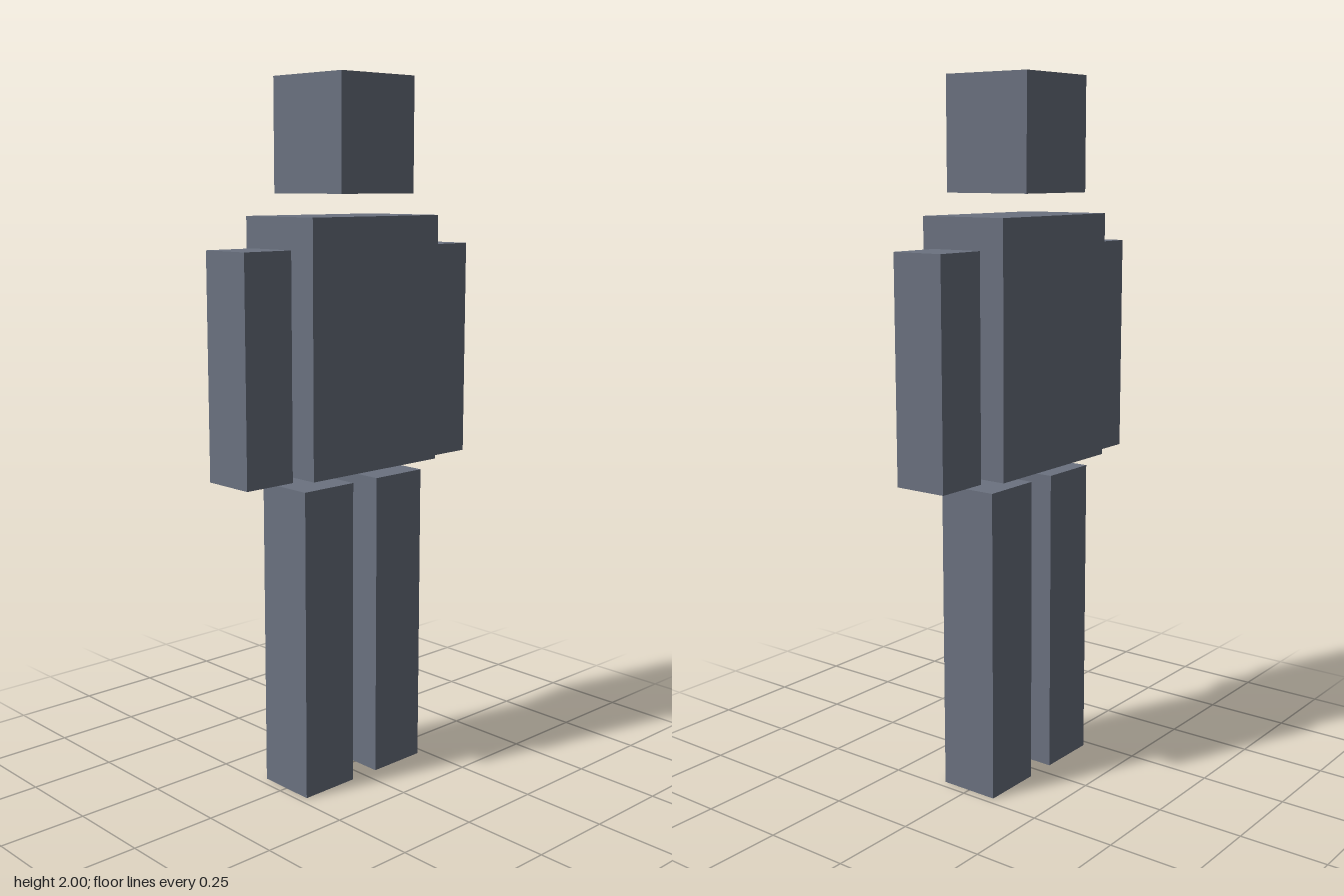
import * as THREE from 'three';

export function createModel() {
  const group = new THREE.Group();
  const slateGrey = new THREE.MeshStandardMaterial({ color: 0x6b7280 });
  slateGrey.name = 'slateGrey';

  // Box standing on y = bottom, centred on x and z = 0
  function block(name, width, bottom, top, depth, x = 0) {
    const mesh = new THREE.Mesh(new THREE.BoxGeometry(width, top - bottom, depth), slateGrey);
    mesh.name = name;
    mesh.position.set(x, (bottom + top) / 2, 0);
    group.add(mesh);
  }

  block('head', 0.272, 1.685, 2, 0.272);
  block('torso', 0.474, 0.925, 1.625, 0.272);

  // Mirrored limbs, left is +x
  for (const [side, s] of [['left', 1], ['right', -1]]) {
    block(side + 'Arm', 0.158, 0.918, 1.54, 0.158, s * 0.341);
    block(side + 'Leg', 0.18, 0, 0.887, 0.176, s * 0.136);
  }
  return group;
}
